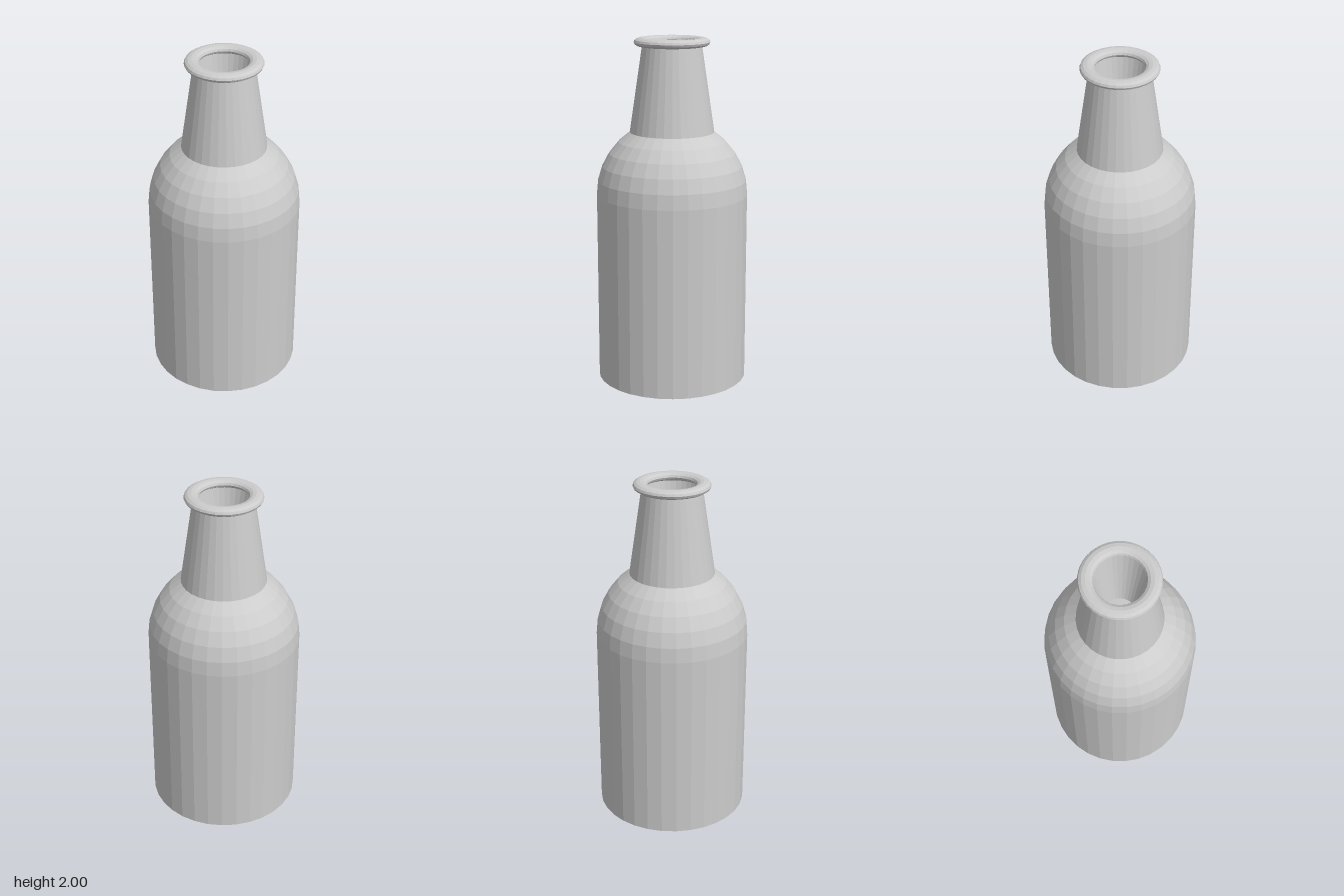
import * as THREE from 'three';

const SIDES = 32;
const R = 0.437;        // body radius
const SHOULDER_Y = 1.1; // where the dome begins

const material = new THREE.MeshStandardMaterial({
  color: 0xcccccc, flatShading: true, side: THREE.DoubleSide,
});

// Faceted surface of revolution from [radius, height] pairs
function turned(name, profile) {
  const points = profile.map(([r, y]) => new THREE.Vector2(r, y));
  const mesh = new THREE.Mesh(new THREE.LatheGeometry(points, SIDES), material);
  mesh.name = name;
  return mesh;
}

// Ring number i of the shoulder dome, in steps of 11.25 degrees up to the pole
function domeRing(i) {
  const a = (i * Math.PI) / 16;
  return [R * Math.cos(a), SHOULDER_Y + R * Math.sin(a)];
}

export function createModel() {
  const bottle = new THREE.Group();
  bottle.name = 'bottle';

  // Straight body with a closed base
  bottle.add(turned('body', [[0, 0], [R, 0], [R, SHOULDER_Y]]));

  // Rounded shoulder
  bottle.add(turned('shoulder', [0, 1, 2, 3, 4, 5].map(domeRing)));

  // Tapered neck, from the last shoulder ring to just inside the lip
  const neckTop = [0.167, 1.975];
  bottle.add(turned('neck', [domeRing(5), neckTop]));

  // Funnel inside the neck, closed by a shallow floor
  bottle.add(turned('neckInside', [neckTop, domeRing(7), [0, SHOULDER_Y + R]]));

  // Flattened ring around the mouth
  const lip = [];
  for (let i = 0; i <= 12; i++) {
    const a = (i / 12) * Math.PI * 2;
    lip.push([0.176 + 0.041 * Math.cos(a), 1.975 + 0.025 * Math.sin(a)]);
  }
  bottle.add(turned('lip', lip));

  return bottle;
}
